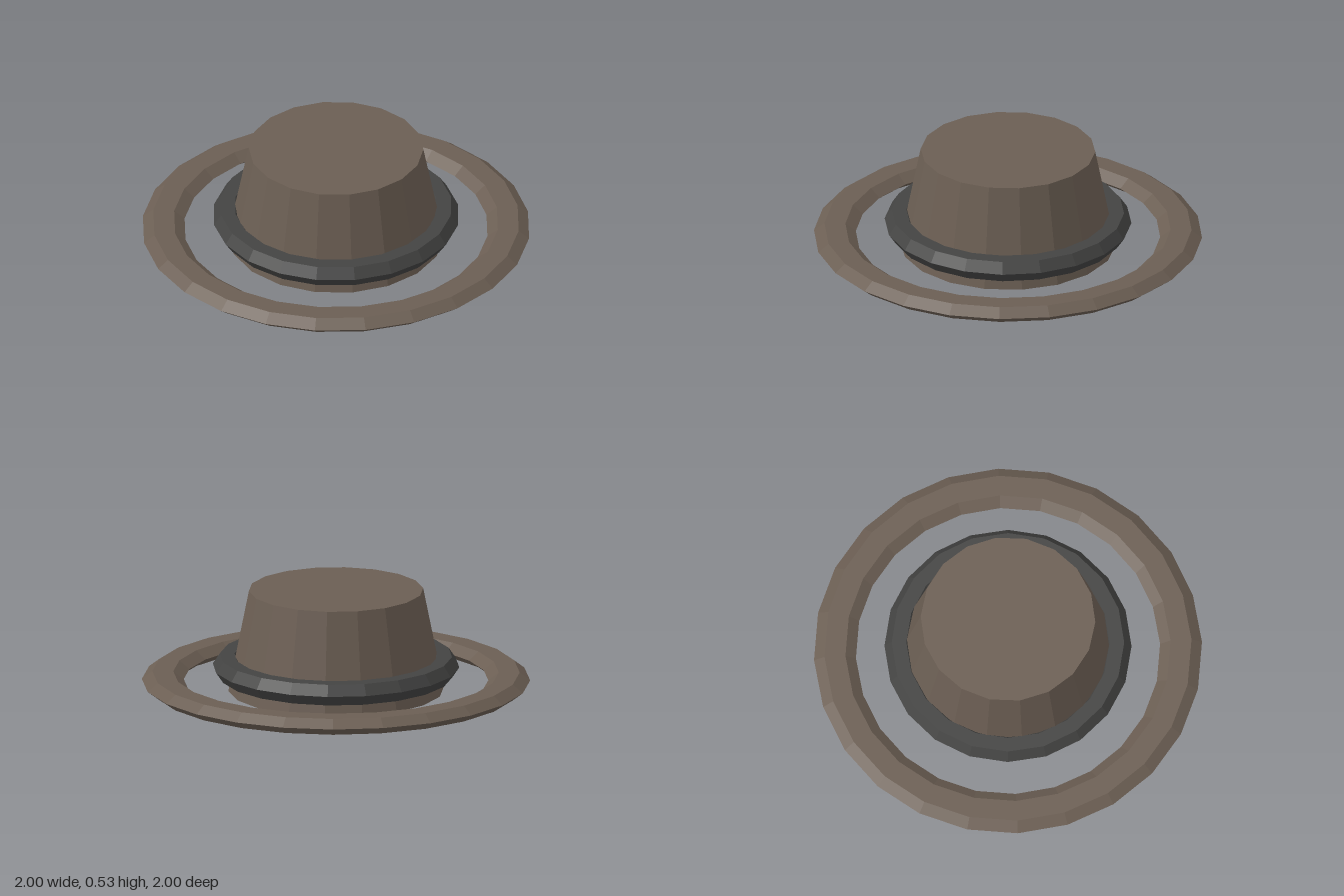
import * as THREE from 'three';

export function createModel() {
  const model = new THREE.Group();
  const material = (color) => new THREE.MeshStandardMaterial({ color, flatShading: true });
  const felt = material(0x6b5e53);
  const ribbon = material(0x434342);

  function addPart(name, geometry, mat, y) {
    const mesh = new THREE.Mesh(geometry, mat);
    mesh.name = name;
    mesh.position.y = y;
    model.add(mesh);
  }

  // Horizontal ring with a six-sided section, squashed vertically to halfHeight
  function ring(radius, tube, halfHeight, sides) {
    const geometry = new THREE.TorusGeometry(radius, tube, 6, sides);
    geometry.rotateX(-Math.PI / 2);
    geometry.scale(1, halfHeight / (tube * Math.sin(Math.PI / 3)), 1);
    return geometry;
  }

  // Tapered crown, closed at both ends
  addPart('crown', new THREE.CylinderGeometry(0.45, 0.556, 0.53, 18), felt, 0.265);

  // Dark band around the crown
  addPart('hatBand', ring(0.561, 0.075, 0.055, 20), ribbon, 0.126);

  // Detached outer brim ring
  addPart('brimRing', ring(0.892, 0.108, 0.042, 24), felt, 0.05);

  return model;
}
